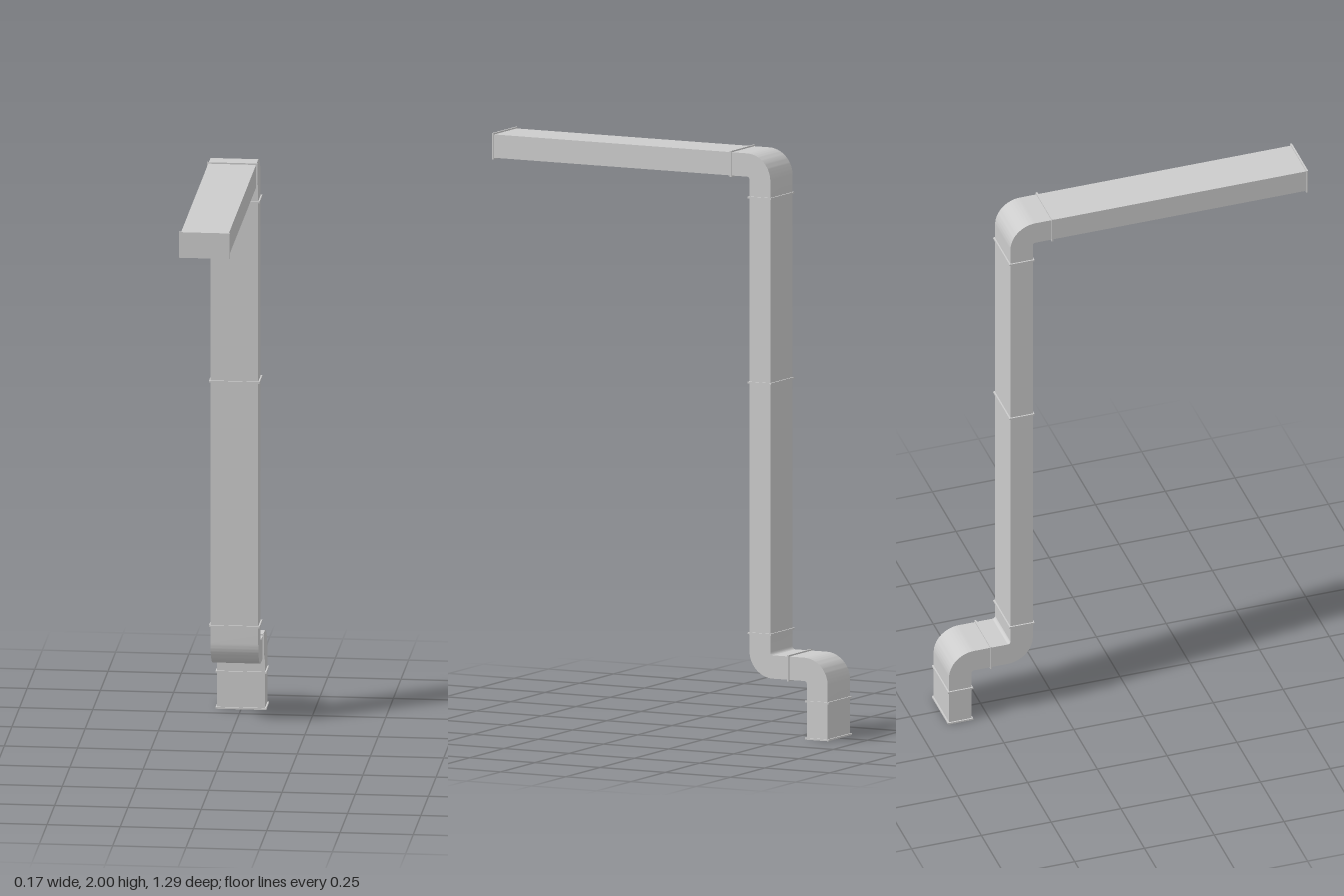
import * as THREE from 'three';
import { toCreasedNormals } from 'three/addons/utils/BufferGeometryUtils.js';

const W = 0.163, D = 0.08;          // duct section
const LEG = 0.11;                   // elbow leg, measured from the centreline corner
const RIM = 0.005, RIM_T = 0.006;   // flange overhang and thickness
const TOP = 1.955, LOW = 0.24;      // heights of the horizontal runs
const Z_RISER = -0.38, Z_DROP = -0.6, Z_FRONT = 0.645;

const material = new THREE.MeshStandardMaterial({ color: 0xcccccc });

// Elbow with one leg towards +z and one towards -y
function elbowGeometry() {
  const h = D / 2, ri = 0.01, ro = ri + D;
  const c = h + ri; // bend centre is at (c, -c)
  const s = new THREE.Shape();
  s.moveTo(LEG, h);
  s.lineTo(c, h);
  s.absarc(c, -c, ro, Math.PI / 2, Math.PI, false);
  s.lineTo(-h, -LEG);
  s.lineTo(h, -LEG);
  s.lineTo(h, -c);
  s.absarc(c, -c, ri, Math.PI, Math.PI / 2, true);
  s.lineTo(LEG, -h);
  s.closePath();
  const g = new THREE.ExtrudeGeometry(s, { depth: W, bevelEnabled: false, curveSegments: 12 });
  g.translate(0, 0, -W / 2);
  g.rotateY(-Math.PI / 2);
  return toCreasedNormals(g, 0.6);
}

export function createModel() {
  const group = new THREE.Group();
  const add = (name, geometry, y, z) => {
    const mesh = new THREE.Mesh(geometry, material);
    mesh.name = name;
    mesh.position.set(0, y, z);
    group.add(mesh);
    return mesh;
  };

  // Straight runs
  const riserTop = TOP - LEG, riserBottom = LOW + LEG, runBack = Z_RISER + LEG;
  add('topDuct', new THREE.BoxGeometry(W, D, Z_FRONT - runBack), TOP, (Z_FRONT + runBack) / 2);
  add('riserDuct', new THREE.BoxGeometry(W, riserTop - riserBottom, D), (riserTop + riserBottom) / 2, Z_RISER);
  add('outletDuct', new THREE.BoxGeometry(W, LOW - LEG, D), (LOW - LEG) / 2, Z_DROP);

  // Bends
  const elbow = elbowGeometry();
  add('topElbow', elbow, TOP, Z_RISER);
  add('lowerElbow', elbow, LOW, Z_RISER).rotation.x = Math.PI;
  add('outletElbow', elbow, LOW, Z_DROP);

  // Thin flanges around the joints and open ends
  const acrossZ = new THREE.BoxGeometry(W + 2 * RIM, D + 2 * RIM, RIM_T);
  const acrossY = new THREE.BoxGeometry(W + 2 * RIM, RIM_T, D + 2 * RIM);
  for (const [y, z] of [[TOP, Z_FRONT - RIM_T / 2], [TOP, runBack], [LOW, Z_RISER - LEG]])
    add('flange', acrossZ, y, z);
  for (const [y, z] of [[riserTop, Z_RISER], [1.21, Z_RISER], [riserBottom, Z_RISER],
    [LOW - LEG, Z_DROP], [RIM_T / 2, Z_DROP]])
    add('flange', acrossY, y, z);

  return group;
}
